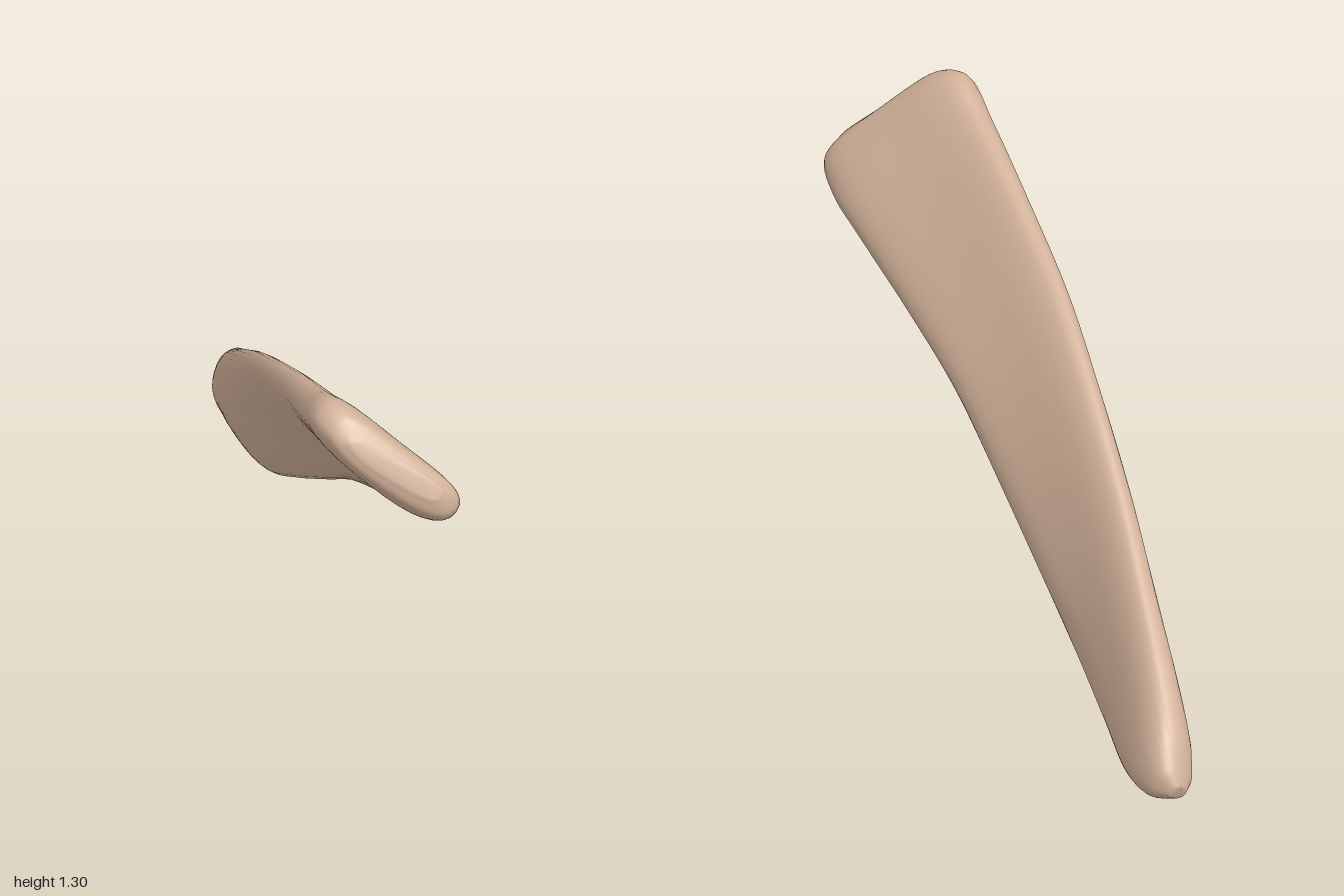
import * as THREE from 'three';

// Stations along the blade: upper edge, lower edge, half thickness (upper, middle, lower)
const STATIONS = [
  [[-0.525, 1.22, 0.815], [-0.335, 1.05, 0.985], [0.025, 0.025, 0.035]],
  [[-0.54, 1.262, 0.765], [-0.285, 0.985, 0.995], [0.075, 0.06, 0.075]],
  [[-0.54, 1.282, 0.69], [-0.24, 0.92, 0.92], [0.092, 0.07, 0.088]],
  [[-0.475, 1.222, 0.55], [-0.195, 0.86, 0.79], [0.083, 0.06, 0.08]],
  [[-0.345, 1.105, 0.3], [-0.115, 0.75, 0.54], [0.068, 0.055, 0.078]],
  [[-0.215, 0.968, 0.05], [-0.03, 0.628, 0.29], [0.062, 0.055, 0.08]],
  [[-0.062, 0.8, -0.2], [0.06, 0.465, 0.05], [0.062, 0.058, 0.08]],
  [[0.1, 0.612, -0.45], [0.158, 0.295, -0.2], [0.062, 0.06, 0.08]],
  [[0.245, 0.452, -0.65], [0.25, 0.155, -0.42], [0.062, 0.068, 0.08]],
  [[0.37, 0.31, -0.82], [0.36, 0.067, -0.62], [0.068, 0.073, 0.078]],
  [[0.455, 0.2, -0.93], [0.475, 0.012, -0.8], [0.073, 0.078, 0.073]],
  [[0.5, 0.115, -0.98], [0.525, 0.01, -0.92], [0.06, 0.062, 0.06]],
  [[0.515, 0.07, -1.0], [0.53, 0.035, -0.985], [0.025, 0.025, 0.025]],
];

const RINGS = 72, SIDES = 32;
const track = k => new THREE.CatmullRomCurve3(STATIONS.map(s => new THREE.Vector3(...s[k])));
const rounded = v => Math.sign(v) * Math.pow(Math.abs(v), 0.8);

function bladeGeometry() {
  const upper = track(0), lower = track(1), thick = track(2);
  const axis = new THREE.Vector3(0.9, -1.0, -1.8).normalize();
  const pos = [], index = [];
  for (let i = 0; i <= RINGS; i++) {
    const t = i / RINGS;
    const u = upper.getPoint(t), l = lower.getPoint(t), h = thick.getPoint(t);
    const mid = u.clone().add(l).multiplyScalar(0.5);
    const half = u.clone().sub(l).multiplyScalar(0.5);
    const normal = axis.clone().cross(half).normalize();
    for (let j = 0; j < SIDES; j++) {
      const a = (j / SIDES) * Math.PI * 2;
      const c = rounded(Math.cos(a)), s = rounded(Math.sin(a));
      // the inner face bulges a little more than the outer one
      const bulge = s < 0 ? 1.2 : 0.95;
      const w = THREE.MathUtils.lerp(h.y * bulge, c > 0 ? h.x : h.z, c * c);
      const p = mid.clone().addScaledVector(half, c).addScaledVector(normal, s * w);
      pos.push(p.x, p.y, p.z);
      if (i < RINGS) {
        const k = i * SIDES, n = (j + 1) % SIDES;
        index.push(k + j, k + n, k + SIDES + j, k + n, k + SIDES + n, k + SIDES + j);
      }
    }
  }
  // close both ends
  const last = RINGS * SIDES;
  for (let j = 1; j < SIDES - 1; j++) {
    index.push(0, j + 1, j, last, last + j, last + j + 1);
  }
  const g = new THREE.BufferGeometry();
  g.setAttribute('position', new THREE.Float32BufferAttribute(pos, 3));
  g.setIndex(index);
  g.computeVertexNormals();
  return g;
}

export function createModel() {
  const bone = new THREE.MeshStandardMaterial({ color: 0xd0b098 });
  bone.name = 'bone';
  const blade = new THREE.Mesh(bladeGeometry(), bone);
  blade.name = 'boneBlade';
  const group = new THREE.Group();
  group.name = 'flatBone';
  group.add(blade);
  return group;
}
